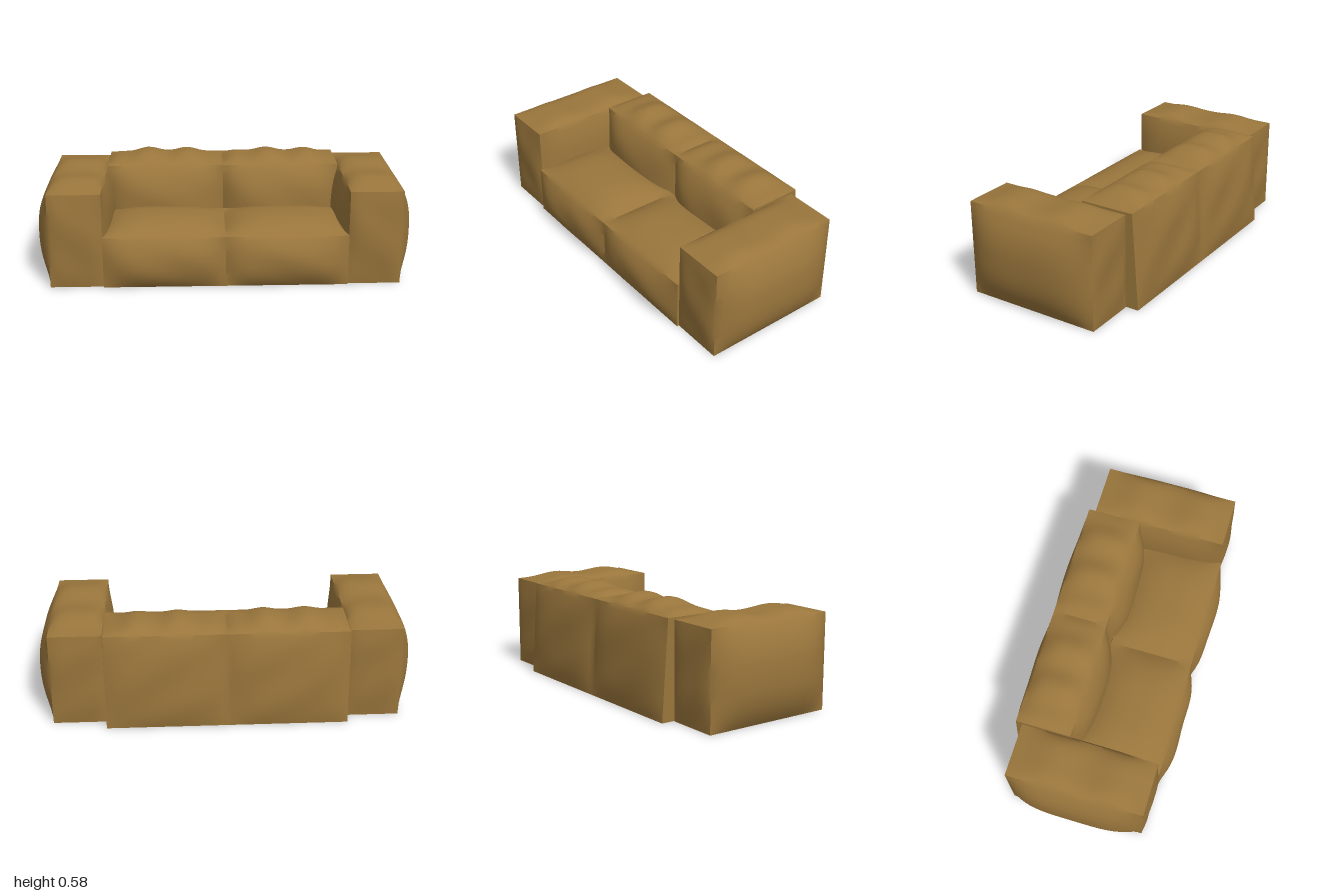
import * as THREE from 'three';
import { mergeVertices, toCreasedNormals } from 'three/addons/utils/BufferGeometryUtils.js';

const fabric = new THREE.MeshStandardMaterial({ color: 0x9a763c });

// Stuffed block: a box from min to max whose faces swell by neg / pos per axis.
// power sets how flat each swell is; halves pinches a seam at the middle of x;
// lean shifts the upper rear edge forward; lump(u, w) adds soft waves on top.
function cushion(name, { min, max, neg, pos, power = [3, 3, 3], halves = false, lean = 0, lump = () => 0 }) {
  let g = new THREE.BoxGeometry(2, 2, 2, halves ? 48 : 20, 20, 24);
  g.deleteAttribute('normal');
  g.deleteAttribute('uv');
  g = mergeVertices(g, 1e-4);
  const p = g.attributes.position;
  for (let i = 0; i < p.count; i++) {
    const q = [p.getX(i), p.getY(i), p.getZ(i)];
    const fade = q.map((t, k) => {
      const s = halves && k === 0 ? 2 * Math.abs(t) - 1 : t;
      return 1 - Math.abs(s) ** power[k];
    });
    const out = q.map((t, k) => {
      const swell = fade[(k + 1) % 3] * fade[(k + 2) % 3] * t * t;
      const top = k === 1 && t > 0 ? lump(q[0], q[2]) : 0;
      const size = t > 0 ? pos[k] + top : -neg[k];
      return THREE.MathUtils.lerp(min[k], max[k], (t + 1) / 2) + size * swell;
    });
    // faint unevenness of the stuffing
    const soft = fade[0] * fade[1] + fade[1] * fade[2] + fade[2] * fade[0];
    out[2] += 0.004 * soft * Math.sin(out[0] * 13 + out[1] * 17) * Math.abs(q[2]);
    out[2] += lean * (q[1] + 1) / 2 * (1 - q[2]) / 2;
    p.setXYZ(i, ...out);
  }
  const mesh = new THREE.Mesh(toCreasedNormals(g, 0.7), fabric);
  mesh.name = name;
  return mesh;
}

export function createModel() {
  const sofa = new THREE.Group();
  sofa.name = 'sofa';

  // armrests, fuller on the outside
  for (const side of [1, -1]) {
    const outer = 0.075, inner = 0.04;
    sofa.add(cushion(side > 0 ? 'leftArm' : 'rightArm', {
      min: [side > 0 ? 0.645 : -0.925, 0, -0.355],
      max: [side > 0 ? 0.925 : -0.645, 0.51, 0.38],
      neg: [side > 0 ? inner : outer, 0, 0.012],
      pos: [side > 0 ? outer : inner, 0.027, 0.018],
      power: [4, 2.5, 4],
      lump: (u, w) => -0.009 * Math.cos(w * 6.5 - 0.3),
    }));
  }

  // seat with a centre seam
  sofa.add(cushion('seat', {
    min: [-0.645, 0, -0.07], max: [0.645, 0.275, 0.392],
    neg: [0, 0, 0.05], pos: [0, 0.06, 0.048],
    power: [3.5, 2.2, 2.5], halves: true,
    lump: (u) => -0.005 * u,
  }));

  // backrest with a centre seam, leaning forward at the top of its rear
  sofa.add(cushion('backrest', {
    min: [-0.64, 0, -0.425], max: [0.64, 0.52, -0.095],
    neg: [0, 0, 0.025], pos: [0, 0.042, 0.075],
    power: [4, 3, 2.5], halves: true, lean: 0.035,
    lump: (u) => -0.006 * u + 0.012 * Math.cos(u * 18 + 5.5),
  }));

  return sofa;
}
